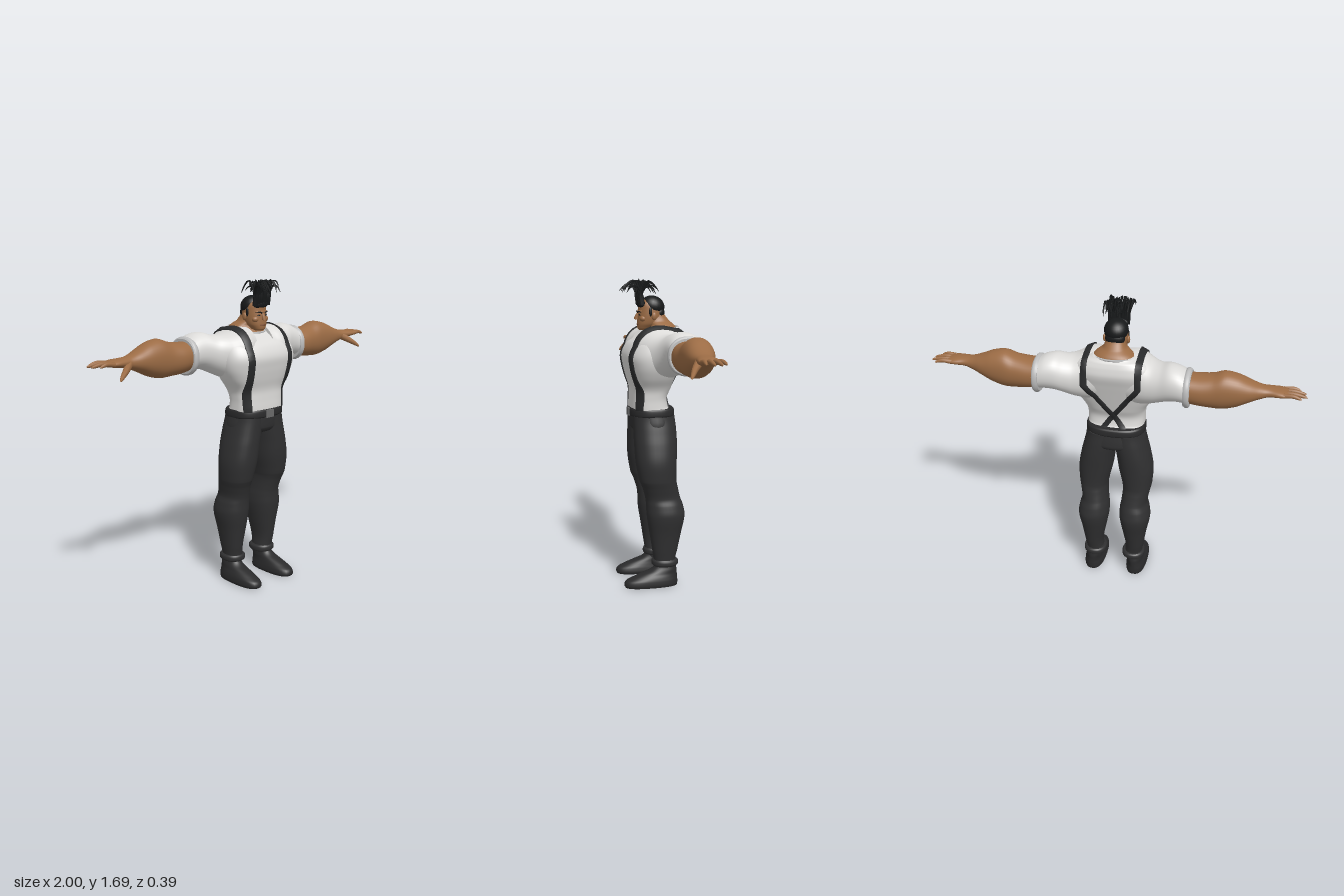
import * as THREE from 'three';

const mat = (name, color, side = THREE.FrontSide) => {
  const m = new THREE.MeshStandardMaterial({ color, side });
  m.name = name;
  return m;
};

// Closed loft through sections [t, a0, a1, b0, b1, n].
// axis 'y': a = x range, b = z range; axis 'x': a = y range, b = z range.
function loft(axis, sections, steps = 5, sides = 36) {
  const rows = [], last = sections.length - 1;
  for (let i = 0; i < last; i++) {
    const q = [-1, 0, 1, 2].map(k => sections[Math.min(last, Math.max(0, i + k))]);
    for (let s = 0; s < steps + (i === last - 1 ? 1 : 0); s++) {
      const u = s / steps;
      rows.push([0, 1, 2, 3, 4, 5].map(c => {
        const [p0, p1, p2, p3] = q.map(r => r[c] ?? 2.2);
        if (c === 0) return p1 + (p2 - p1) * u;
        return 0.5 * (2 * p1 + (p2 - p0) * u + (2 * p0 - 5 * p1 + 4 * p2 - p3) * u * u
          + (3 * p1 - p0 - 3 * p2 + p3) * u * u * u);
      }));
    }
  }
  const pos = [], index = [];
  const ring = ([t, a0, a1, b0, b1, n]) => {
    for (let j = 0; j < sides; j++) {
      const w = j / sides * Math.PI * 2;
      const f = v => Math.sign(v) * Math.abs(v) ** (2 / n);
      const c = f(Math.cos(w)), s = f(Math.sin(w));
      const mid = (lo, hi, k) => (lo + hi) / 2 + (hi - lo) / 2 * k;
      if (axis === 'y') pos.push(mid(a0, a1, c), t, mid(b0, b1, s));
      else pos.push(t, mid(a0, a1, s), mid(b0, b1, c));
    }
  };
  rows.forEach(ring);
  for (let i = 0; i < rows.length - 1; i++) for (let j = 0; j < sides; j++) {
    const a = i * sides + j, b = i * sides + (j + 1) % sides;
    index.push(a, a + sides, b, b, a + sides, b + sides);
  }
  for (const [row, end] of [[rows[0], false], [rows[rows.length - 1], true]]) {
    const base = pos.length / 3;
    ring(row);
    const a = (row[1] + row[2]) / 2, b = (row[3] + row[4]) / 2;
    pos.push(...(axis === 'y' ? [a, row[0], b] : [row[0], a, b]));
    for (let j = 0; j < sides; j++) {
      const p = base + j, q = base + (j + 1) % sides;
      index.push(base + sides, ...(end ? [q, p] : [p, q]));
    }
  }
  const g = new THREE.BufferGeometry();
  g.setAttribute('position', new THREE.Float32BufferAttribute(pos, 3));
  g.setIndex(index);
  g.computeVertexNormals();
  return g;
}

// Round tapered tube with a closed tip.
function taper(points, r0, r1, segs = 12, sides = 8) {
  const curve = new THREE.CatmullRomCurve3(points.map(p => new THREE.Vector3(...p)));
  const g = new THREE.TubeGeometry(curve, segs, 1, sides);
  const p = g.attributes.position, v = new THREE.Vector3();
  for (let i = 0; i < p.count; i++) {
    const s = Math.floor(i / (sides + 1)) / segs, c = curve.getPointAt(s);
    const r = (r0 + (r1 - r0) * s) * Math.sqrt(Math.max(0, 1 - s ** 8));
    v.fromBufferAttribute(p, i).sub(c).multiplyScalar(r).add(c);
    p.setXYZ(i, v.x, v.y, v.z);
  }
  return g;
}

function mirror(geometry) {
  const g = geometry.clone().scale(-1, 1, 1), ix = g.index.array;
  for (let i = 0; i < ix.length; i += 3) [ix[i], ix[i + 1]] = [ix[i + 1], ix[i]];
  return g;
}

export function createModel() {
  const model = new THREE.Group();
  const skin = mat('skin', 0x9c6c45), shirt = mat('shirt white', 0xdcdbd9);
  const trim = mat('shirt trim', 0xbdbdbd), pants = mat('trousers', 0x303031);
  const strapMat = mat('strap', 0x292a2b, THREE.DoubleSide), shoeMat = mat('shoe leather', 0x2a2a2b);
  const hair = mat('hair', 0x17191a), metal = mat('buckle grey', 0x6a6a6a), lip = mat('lips', 0x6e4531);
  const add = (name, g, m) => {
    const mesh = new THREE.Mesh(g, m);
    mesh.name = name;
    model.add(mesh);
    return mesh;
  };
  const pair = (name, g, m) => [add(name + 'Left', g, m), add(name + 'Right', mirror(g), m)];
  const ball = (x, y, z, rx, ry, rz) => new THREE.SphereGeometry(1, 24, 16).scale(rx, ry, rz).translate(x, y, z);

  // Shirt body and sleeves
  const body = [[.975, .157, -.08, .135], [1.0, .156, -.065, .135], [1.05, .157, -.06, .132], [1.1, .167, -.08, .132],
    [1.16, .205, -.1, .147], [1.22, .232, -.12, .16], [1.28, .24, -.14, .166], [1.34, .23, -.158, .138],
    [1.385, .2, -.152, .08], [1.415, .15, -.14, .035], [1.428, .11, -.125, .01]];
  const surface = [add('shirtBody', loft('y', body.map(([y, r, b, f]) => [y, -r, r, b, f, 2.8]), 5, 56), shirt)];
  surface.push(...pair('sleeve', loft('x', [[.06, 1.16, 1.432, -.13, .12], [.13, 1.15, 1.432, -.145, .14],
    [.2, 1.17, 1.402, -.157, .1], [.25, 1.195, 1.4, -.167, .052], [.3, 1.217, 1.415, -.18, .022],
    [.35, 1.225, 1.408, -.186, .01], [.4, 1.22, 1.385, -.184, .01]]), shirt));
  pair('sleeveCuff', loft('x', [[.38, 1.205, 1.392, -.19, .014], [.39, 1.197, 1.398, -.194, .018],
    [.405, 1.196, 1.396, -.194, .018], [.412, 1.204, 1.388, -.188, .012]], 3), trim);

  // Suspenders laid over the shirt surface and crossed at the back
  model.updateMatrixWorld(true);
  const path = [];
  for (let i = 0; i <= 16; i++) path.push([.128 + .015 * i / 16, .985 + .295 * i / 16, 0]);
  for (let i = 1; i < 20; i++) path.push([.143, 1.28, Math.PI * i / 20]);
  for (let i = 0; i <= 24; i++) path.push([.143 - .2 * i / 24, 1.28 - .295 * i / 24, Math.PI]);
  const pos = [], index = [], caster = new THREE.Raycaster();
  path.forEach(([x, y, w], i) => {
    const out = new THREE.Vector3(0, Math.sin(w), Math.cos(w));
    const hits = [-1, 1].map(e => {
      const aim = new THREE.Vector3(x + e * .0165, y, -.005);
      caster.set(aim.clone().addScaledVector(out, 1), out.clone().negate());
      return caster.intersectObjects(surface)[0]?.point ?? aim.addScaledVector(out, .07);
    });
    for (const [k, d] of [[0, -.004], [0, .009], [1, .009], [1, -.004]])
      pos.push(...hits[k].clone().addScaledVector(out, d).toArray());
    if (i) for (let k = 0; k < 3; k++) {
      const a = i * 4 + k, b = a - 4;
      index.push(b, b + 1, a, a, b + 1, a + 1);
    }
  });
  const strap = new THREE.BufferGeometry();
  strap.setAttribute('position', new THREE.Float32BufferAttribute(pos, 3));
  strap.setIndex(index);
  strap.computeVertexNormals();
  pair('suspender', strap, strapMat);

  // Neck, collar and head
  add('neck', loft('y', [[1.38, -.1, .1, -.12, .075], [1.415, -.115, .115, -.122, .045], [1.437, -.095, .095, -.112, .03],
    [1.46, -.062, .062, -.085, .04], [1.5, -.05, .05, -.055, .04]]), skin);
  const collar = [];
  for (let i = 0; i < 20; i++) {
    const w = i / 20 * Math.PI * 2, s = Math.sin(w);
    collar.push(new THREE.Vector3(.112 * Math.cos(w), 1.413 - .015 * s, -.04 + (s > 0 ? .1 : .09) * s));
  }
  add('collar', new THREE.TubeGeometry(new THREE.CatmullRomCurve3(collar, true), 60, .006, 6, true), trim);
  add('head', loft('y', [[1.412, -.025, .025, .04, .08], [1.42, -.036, .036, .01, .09], [1.445, -.053, .053, -.025, .092],
    [1.48, -.06, .06, -.045, .09], [1.52, -.06, .06, -.048, .087], [1.55, -.056, .056, -.045, .084],
    [1.575, -.042, .042, -.03, .062], [1.582, -.02, .02, -.01, .03]], 5), skin);
  pair('ear', ball(.063, 1.487, .012, .009, .021, .014), skin);
  pair('cheek', ball(.033, 1.473, .067, .022, .017, .018), skin);
  add('nose', taper([[0, 1.508, .084], [0, 1.485, .095], [0, 1.466, .1]], .006, .014), skin);
  add('brow', ball(0, 1.512, .077, .045, .008, .015), skin);
  pair('eyebrow', taper([[.01, 1.506, .092], [.025, 1.512, .09], [.043, 1.509, .078]], .004, .003), hair);
  pair('eye', ball(.024, 1.494, .083, .01, .004, .006), hair);
  add('mouth', ball(0, 1.442, .089, .021, .004, .006), lip);

  // Hair cap, sideburns and tall tuft
  add('hairCap', ball(0, 0, 0, .064, .056, .066).rotateX(-.3).translate(0, 1.54, .007), hair);
  add('hairNape', ball(0, 1.505, -.025, .052, .042, .033), hair);
  pair('sideburn', ball(.058, 1.51, .03, .006, .026, .009), hair);
  add('hairRoot', ball(0, 1.552, .07, .052, .026, .022), hair);
  let seed = 7;
  const rnd = () => (seed = seed * 16807 % 2147483647) / 2147483647;
  for (let i = 0; i < 64; i++) {
    const x = (i % 16 / 15 - .5) * .1, reach = rnd() * 2 - 1, h = 1.645 + rnd() * .035;
    const z = .083 + (rnd() - .5) * .014, wide = 1.15 + rnd() * .25;
    const end = z + reach * .095, tip = 1.675 - Math.abs(reach) * (.05 + rnd() * .035) + rnd() * .01;
    add('hairLock', taper([[x, 1.545, z - .008], [x * 1.05, 1.605, z], [x * wide, h, z + reach * .035],
      [x * wide, (h + tip) / 2 + .008, z + reach * .07], [x * wide + (rnd() - .5) * .012, tip, end]], .009, .003, 12, 5), hair);
  }

  // Arms, hands and fingers
  pair('arm', loft('x', [[.37, 1.225, 1.375, -.17, -.003], [.45, 1.212, 1.375, -.172, .008], [.52, 1.206, 1.385, -.168, .002],
    [.58, 1.204, 1.405, -.165, .0], [.65, 1.222, 1.392, -.155, -.002], [.71, 1.25, 1.365, -.138, -.008],
    [.77, 1.273, 1.342, -.113, -.018], [.81, 1.285, 1.336, -.105, -.016], [.86, 1.292, 1.332, -.114, -.01],
    [.9, 1.298, 1.325, -.112, -.014], [.91, 1.304, 1.318, -.1, -.025]]), skin);
  for (const [z, zEnd, tip] of [[-.1, -.113, .972], [-.075, -.085, 1.0], [-.048, -.052, .995], [-.024, -.02, .965]])
    pair('finger', taper([[.88, 1.312, z], [.93, 1.317, (z + zEnd) / 2], [tip, 1.306, zEnd]], .0135, .008), skin);
  pair('thumb', taper([[.79, 1.302, -.035], [.83, 1.275, -.005], [.86, 1.255, .012], [.885, 1.235, .027]], .022, .009), skin);

  // Trousers, belt and buckle
  add('hips', loft('y', [[.85, -.07, .07, -.07, .08], [.865, -.15, .15, -.1, .115], [.89, -.17, .17, -.107, .132],
    [.97, -.157, .157, -.097, .137]]), pants);
  pair('leg', loft('y', [[.125, .065, .165, -.09, .025], [.2, .068, .175, -.105, .035], [.3, .05, .19, -.126, .05],
    [.4, .033, .208, -.145, .065], [.46, .034, .2, -.135, .068], [.5, .04, .189, -.12, .073], [.56, .045, .198, -.105, .09],
    [.6, .041, .207, -.097, .108], [.7, .019, .211, -.1, .125], [.8, .005, .194, -.105, .13],
    [.88, -.01, .174, -.104, .131], [.95, -.02, .158, -.098, .133]]), pants);
  add('belt', loft('y', [[.948, -.158, .158, -.1, .139, 2.6], [.955, -.163, .163, -.105, .144, 2.6],
    [.983, -.162, .162, -.103, .143, 2.6], [.992, -.157, .157, -.096, .138, 2.6]], 3, 48), shoeMat);
  add('buckle', new THREE.BoxGeometry(.054, .042, .012).translate(0, .968, .143), metal);

  // Trouser cuffs, ankles and shoes
  pair('trouserCuff', loft('y', [[.112, .055, .172, -.1, .03], [.12, .05, .18, -.11, .037],
    [.14, .05, .18, -.11, .037], [.148, .058, .172, -.102, .031]], 3), pants);
  pair('ankle', loft('y', [[.08, .075, .158, -.09, .02], [.13, .075, .158, -.085, .015]]), shoeMat);
  pair('shoe', loft('y', [[0, .068, .184, -.103, .19, 2.5], [.012, .065, .187, -.105, .195, 2.5],
    [.035, .068, .185, -.105, .185, 2.4], [.052, .072, .18, -.104, .15], [.07, .076, .172, -.103, .105],
    [.09, .078, .166, -.102, .05], [.11, .08, .16, -.098, .025]]), shoeMat);
  return model;
}
